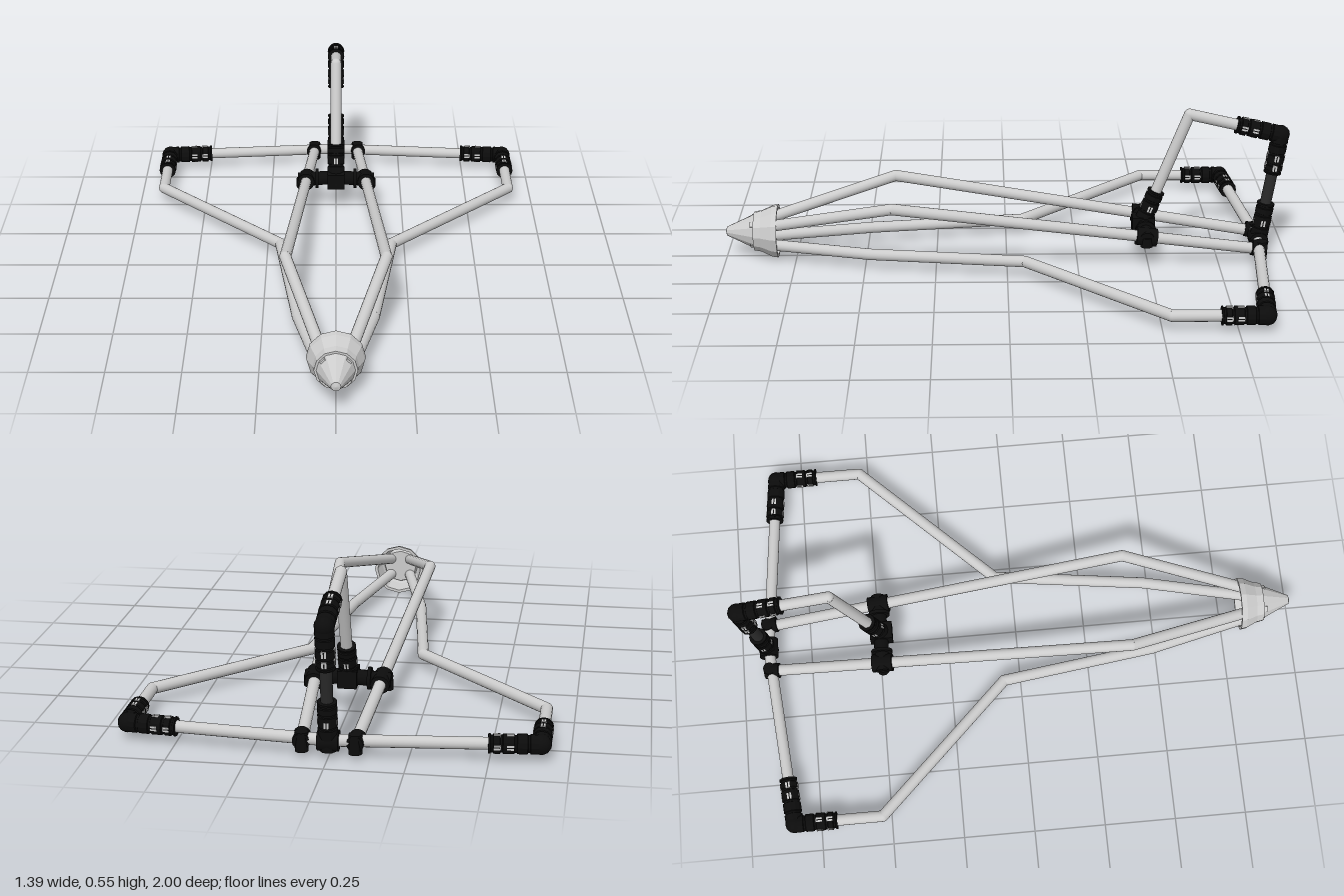
import * as THREE from 'three';

const grey = new THREE.MeshStandardMaterial({ color: 0xcccccc });
const facet = new THREE.MeshStandardMaterial({ color: 0xcccccc, flatShading: true, side: THREE.DoubleSide });
const black = new THREE.MeshStandardMaterial({ color: 0x0c0c0c });
const dark = new THREE.MeshStandardMaterial({ color: 0x2a2a2a });
const V = (x, y, z) => new THREE.Vector3(x, y, z);
const UP = V(0, 1, 0);

function add(parent, name, geo, mat, pos = V(0, 0, 0)) {
  const m = new THREE.Mesh(geo, mat);
  m.name = name;
  m.position.copy(pos);
  parent.add(m);
  return m;
}

// Straight rod between two points
function rod(parent, name, a, b, r, mat) {
  const d = b.clone().sub(a);
  const m = add(parent, name, new THREE.CylinderGeometry(r, r, d.length(), 16), mat, a.clone().lerp(b, 0.5));
  m.quaternion.setFromUnitVectors(UP, d.normalize());
  return m;
}

// Bent tube: rods joined by ball corners
function bentTube(parent, name, pts, r = 0.02) {
  const g = new THREE.Group();
  g.name = name;
  pts.slice(1).forEach((p, i) => {
    rod(g, name + 'Rod', pts[i], p, r, grey);
    if (i < pts.length - 2) add(g, name + 'Bend', new THREE.SphereGeometry(r, 16, 10), grey, p);
  });
  parent.add(g);
}

// Ribbed socket running from a point towards another, with small windows showing the tube
function socket(parent, name, from, to, len, windows = 2) {
  const g = new THREE.Group();
  g.name = name;
  g.position.copy(from);
  g.quaternion.setFromUnitVectors(UP, to.clone().sub(from).normalize());
  const profile = [[0, 0], [0.031, 0]];
  for (const s of [0.2, 0.45, 0.72, 0.9]) {
    const y = len * s;
    profile.push([0.032, y], [0.028, y + 0.002], [0.028, y + 0.008], [0.032, y + 0.01]);
  }
  profile.push([0.032, len], [0.019, len]);
  add(g, name + 'Sleeve', new THREE.LatheGeometry(profile.map(p => new THREE.Vector2(...p)), 12),
    new THREE.MeshStandardMaterial({ color: 0x0c0c0c, flatShading: true, side: THREE.DoubleSide }));
  for (let i = 0; i < windows; i++) {
    const y = len * (0.58 + 0.25 * i);
    add(g, 'socketWindow', new THREE.BoxGeometry(0.063, 0.022, 0.016), grey, V(0, y, 0));
    add(g, 'socketWindow', new THREE.BoxGeometry(0.016, 0.022, 0.063), grey, V(0, y, 0));
  }
  parent.add(g);
}

// Corner connector with two sockets
function elbow(parent, name, corner, a, b, lenA, lenB) {
  const g = new THREE.Group();
  g.name = name;
  add(g, name + 'Corner', new THREE.SphereGeometry(0.033, 12, 8), black, corner);
  socket(g, name + 'Socket', corner, a, lenA);
  socket(g, name + 'Socket', corner, b, lenB);
  parent.add(g);
}

export function createModel() {
  const model = new THREE.Group();
  model.name = 'tubeFrameGlider';

  // Nose cone: faceted hollow shell with a recessed back
  const nose = add(model, 'noseCone', new THREE.LatheGeometry(
    [[0, 0.01], [0.03, 0.01], [0.03, -0.09], [0.07, -0.09], [0.085, -0.175], [0.096, -0.175], [0.093, -0.155], [0.016, 0.008], [0, 0.012]]
      .map(p => new THREE.Vector2(...p)).slice(2), 12), facet, V(0, 0.1, 0.988));
  nose.rotation.x = Math.PI / 2;
  const hub = add(model, 'noseHub', new THREE.CylinderGeometry(0.075, 0.068, 0.02, 12), facet, V(0, 0.1, 0.875));
  hub.rotation.x = Math.PI / 2;
  hub.scale.set(0.9, 1, 0.9);

  for (const s of [-1, 1]) {
    const side = new THREE.Group();
    side.name = s > 0 ? 'leftSide' : 'rightSide';
    model.add(side);

    // Upper fuselage rail
    bentTube(side, 'upperRail', [V(s * 0.035, 0.125, 0.88), V(s * 0.17, 0.245, 0.4), V(s * 0.085, 0.055, -0.9)]);

    // Lower rail sweeping out into the wing outline
    const tip = V(s * 0.66, 0.06, -0.84), wingBend = V(s * 0.66, 0.06, -0.53), tail = V(0, 0.06, -0.9);
    bentTube(side, 'wingRail', [V(s * 0.035, 0.065, 0.88), V(s * 0.128, 0.06, 0.48),
      V(s * 0.2, 0.06, -0.06), wingBend, tip, tail]);
    elbow(side, 'wingTipElbow', tip, wingBend, tail, 0.15, 0.165);

    // Clips showing on the nose
    for (const t of [-1, 1]) {
      const clip = add(side, 'noseClip', new THREE.BoxGeometry(0.02, 0.02, 0.03), grey, V(s * 0.037, 0.1 + t * 0.035, 0.895));
      clip.rotation.z = Math.PI / 4;
    }

    // Rear clamp joining the upper rail to the wing's trailing tube
    rod(side, 'rearClamp', V(s * 0.085, 0.02, -0.9), V(s * 0.085, 0.085, -0.9), 0.022, black);
    rod(side, 'rearCollar', V(s * 0.085, 0.055, -0.915), V(s * 0.089, 0.063, -0.865), 0.028, black);

    // Mid clamp holding the fin bridge
    const c = V(s * 0.112, 0.115, -0.49);
    rod(side, 'midClampCollar', c.clone().add(V(-s * 0.002, -0.005, -0.036)), c.clone().add(V(s * 0.002, 0.005, 0.036)), 0.032, black);
    rod(side, 'midClampBridge', V(0, 0.125, -0.49), V(s * 0.143, 0.115, -0.49), 0.026, black);
    rod(side, 'midClampHook', V(s * 0.128, 0.12, -0.49), V(s * 0.128, 0.085, -0.49), 0.022, black);
    rod(side, 'midClampRib', V(s * 0.066, 0.12, -0.49), V(s * 0.078, 0.12, -0.49), 0.038, black);
  }

  // Tail fin loop
  const finFoot = V(0, 0.12, -0.482), finTop = V(0, 0.53, -0.64);
  const finBack = V(0, 0.455, -0.962), finBase = V(0, 0.06, -0.9);
  bentTube(model, 'finTube', [finFoot, finTop, finBack]);
  rod(model, 'finPost', finBase, finBack, 0.02, dark);
  socket(model, 'finFootSocket', V(0, 0.1, -0.475), finTop, 0.155, 1);
  add(model, 'finFootBlock', new THREE.BoxGeometry(0.064, 0.06, 0.08), black, V(0, 0.122, -0.487));
  elbow(model, 'finElbow', finBack, finTop, finBase, 0.16, 0.145);
  socket(model, 'finBaseSocket', V(0, 0.03, -0.897), finBack, 0.17, 1);
  rod(model, 'finBaseCollar', V(-0.034, 0.06, -0.9), V(0.034, 0.06, -0.9), 0.034, black);

  return model;
}
